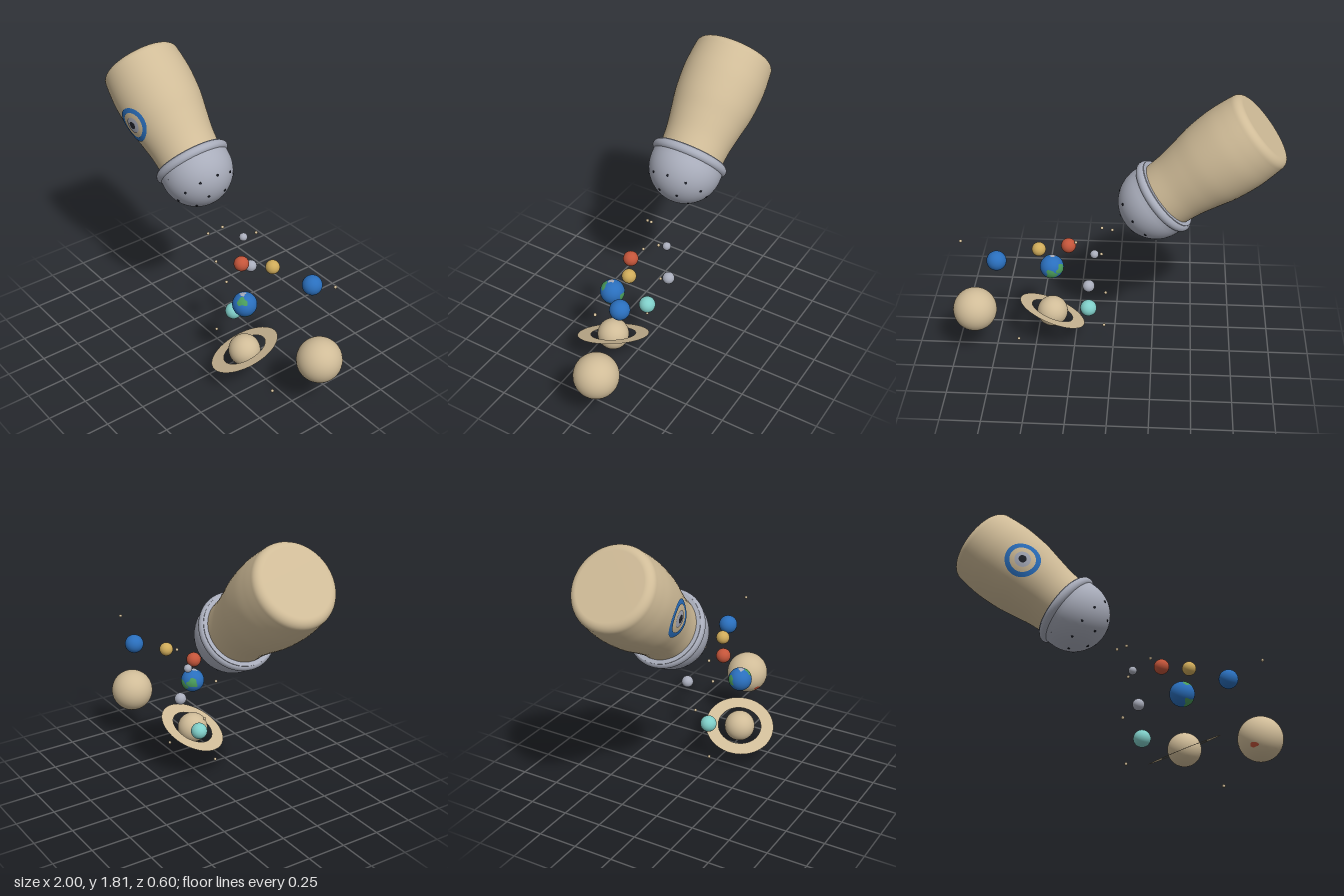
import * as THREE from 'three';

const mat = (name, color) => Object.assign(new THREE.MeshStandardMaterial({ color }), { name });

export function createModel() {
  const root = new THREE.Group();
  root.name = 'planetShaker';
  const tan = mat('tan', 0xd0bc98);
  const grey = mat('grey', 0xa9adbb);
  const blue = mat('blue', 0x2a6fbd);
  const red = mat('red', 0xc4553a);
  const yellow = mat('yellow', 0xcfab5a);
  const cyan = mat('cyan', 0x80cfc9);
  const green = mat('green', 0x4a9c5b);
  const black = mat('black', 0x20232c);
  const ringTan = tan.clone();
  ringTan.side = THREE.DoubleSide;

  const add = (parent, name, geometry, material, x = 0, y = 0, z = 0) => {
    const mesh = new THREE.Mesh(geometry, material);
    mesh.name = name;
    mesh.position.set(x, y, z);
    parent.add(mesh);
    return mesh;
  };

  // Tilted shaker: local +y runs from its base to the tip of the cap
  const shaker = new THREE.Group();
  shaker.name = 'shaker';
  shaker.position.set(-0.859, 1.639, -0.035);
  shaker.rotation.z = THREE.MathUtils.degToRad(-130);
  root.add(shaker);

  // Body: flat base, rounded corner, gentle belly and narrower neck
  const profile = [new THREE.Vector2(0, 0)];
  for (let i = 0; i <= 8; i++) {
    const a = (i / 8) * Math.PI / 2;
    profile.push(new THREE.Vector2(0.2 + 0.05 * Math.sin(a), 0.05 - 0.05 * Math.cos(a)));
  }
  const side = new THREE.SplineCurve([[0.25, 0.05], [0.257, 0.12], [0.261, 0.22], [0.251, 0.36],
    [0.229, 0.48], [0.208, 0.6], [0.2, 0.7]].map(p => new THREE.Vector2(...p)));
  profile.push(...side.getPoints(40).slice(1));
  add(shaker, 'shakerBody', new THREE.LatheGeometry(profile, 64), tan);

  const bodyRadius = y => {
    let i = 1;
    while (i < profile.length - 1 && profile[i].y < y) i++;
    const p = profile[i - 1], q = profile[i];
    return THREE.MathUtils.lerp(p.x, q.x, (y - p.y) / (q.y - p.y));
  };

  // Eye-like emblem laid onto the curved body
  const emblem = (name, inner, outer, material, lift) => {
    const g = new THREE.RingGeometry(inner, outer, 48, 4);
    const p = g.attributes.position;
    for (let i = 0; i < p.count; i++) {
      const x = p.getX(i), y = p.getY(i) + 0.385;
      p.setXYZ(i, x, y, Math.sqrt(bodyRadius(y) ** 2 - x * x) + lift);
    }
    g.computeVertexNormals();
    add(shaker, name, g, material);
  };
  emblem('emblemRing', 0.08, 0.11, blue, 0.004);
  emblem('emblemDisc', 0, 0.05, grey, 0.004);
  emblem('emblemCentre', 0, 0.024, black, 0.007);

  // Cap: collar, rolled rim and dome
  const capY = 0.786, capR = 0.225;
  add(shaker, 'capCollar', new THREE.CylinderGeometry(capR, capR, 0.09, 64), grey, 0, 0.742);
  add(shaker, 'capRim', new THREE.TorusGeometry(0.212, 0.03, 16, 64).rotateX(Math.PI / 2), grey, 0, 0.728);
  add(shaker, 'capDome', new THREE.SphereGeometry(capR, 64, 24, 0, Math.PI * 2, 0, Math.PI / 2), grey, 0, capY);

  // Two rings of pouring holes
  for (const [count, degrees] of [[5, 27], [10, 57]]) {
    for (let i = 0; i < count; i++) {
      const dir = new THREE.Vector3().setFromSphericalCoords(
        1, THREE.MathUtils.degToRad(degrees), Math.PI / 2 + (i / count) * Math.PI * 2);
      const hole = add(shaker, 'pouringHole', new THREE.CylinderGeometry(0.008, 0.008, 0.006, 12), black);
      hole.position.copy(dir).multiplyScalar(capR).add(new THREE.Vector3(0, capY, 0));
      hole.quaternion.setFromUnitVectors(new THREE.Vector3(0, 1, 0), dir);
    }
  }

  // Planets
  const planet = (name, material, r, x, y, z) => {
    const group = new THREE.Group();
    group.name = name;
    group.position.set(x, y, z);
    root.add(group);
    add(group, name + 'Ball', new THREE.SphereGeometry(r, 40, 28), material);
    return group;
  };
  planet('smallGreyPlanet', grey, 0.026, 0.105, 0.8, -0.12);
  planet('greyPlanet', grey, 0.037, 0.14, 0.59, -0.155);
  planet('redPlanet', red, 0.046, 0.275, 0.76, 0.028);
  planet('yellowPlanet', yellow, 0.043, 0.447, 0.792, -0.07);
  planet('bluePlanet', blue, 0.06, 0.694, 0.763, -0.165);
  planet('cyanPlanet', cyan, 0.052, 0.155, 0.317, -0.01);
  const earth = planet('greenBluePlanet', blue, 0.075, 0.39, 0.557, 0.09);
  const ringed = planet('ringedPlanet', tan, 0.098, 0.395, 0.212, 0.09);
  const giant = planet('giantPlanet', tan, 0.137, 0.861, 0.348, -0.1);

  // Flat tilted planet ring
  const ring = add(ringed, 'planetRing', new THREE.RingGeometry(0.14, 0.2225, 64), ringTan);
  ring.quaternion.setFromUnitVectors(new THREE.Vector3(0, 0, 1), new THREE.Vector3(-0.37, 0.89, 0.26).normalize());

  // Irregular surface patch hugging a sphere of radius r
  const patch = (parent, name, material, r, dir, size, squash = 1, wobble = 0.2) => {
    const g = new THREE.RingGeometry(0, 1, 32, 5);
    const p = g.attributes.position;
    for (let i = 0; i < p.count; i++) {
      const x = p.getX(i), y = p.getY(i), a = Math.atan2(y, x);
      const k = size * (1 + wobble * Math.sin(3 * a + dir[0] * 5) + wobble * 0.5 * Math.sin(5 * a + dir[1] * 7));
      const u = x * k, v = y * k * squash, t = Math.hypot(u, v);
      const s = t > 1e-6 ? Math.sin(t) / t : 1;
      p.setXYZ(i, u * s * r, v * s * r, Math.cos(t) * r);
    }
    g.computeVertexNormals();
    add(parent, name, g, material).lookAt(new THREE.Vector3(...dir));
  };
  for (const [dir, size, squash] of [
    [[0.5, 0.75, 0.25], 0.42, 0.8], [[0.92, -0.3, 0.2], 0.6, 0.75], [[-0.5, 0.7, -0.5], 0.45, 0.9],
    [[0.35, 0.3, -0.9], 0.45, 1.1], [[0.3, -0.7, -0.6], 0.35, 0.7]]) {
    patch(earth, 'landPatch', green, 0.0762, dir, size, squash);
  }
  patch(earth, 'icePatch', grey, 0.0772, [0.36, 0.92, 0.14], 0.24);
  patch(giant, 'stormSpot', red, 0.1382, [0.37, -0.33, 0.87], 0.19, 0.6, 0.08);

  // Scattered grains
  for (const [x, y, z] of [[0.008, 0.852, 0.075], [0.067, 0.905, 0.012], [0.215, 0.887, -0.13],
    [0.907, 0.882, -0.145], [0.075, 0.678, 0.065], [0.043, 0.46, -0.04], [0.06, 0.14, 0.05], [0.617, 0.01, 0.045]]) {
    add(root, 'grain', new THREE.SphereGeometry(0.01, 12, 8), tan, x, y, z);
  }
  return root;
}
